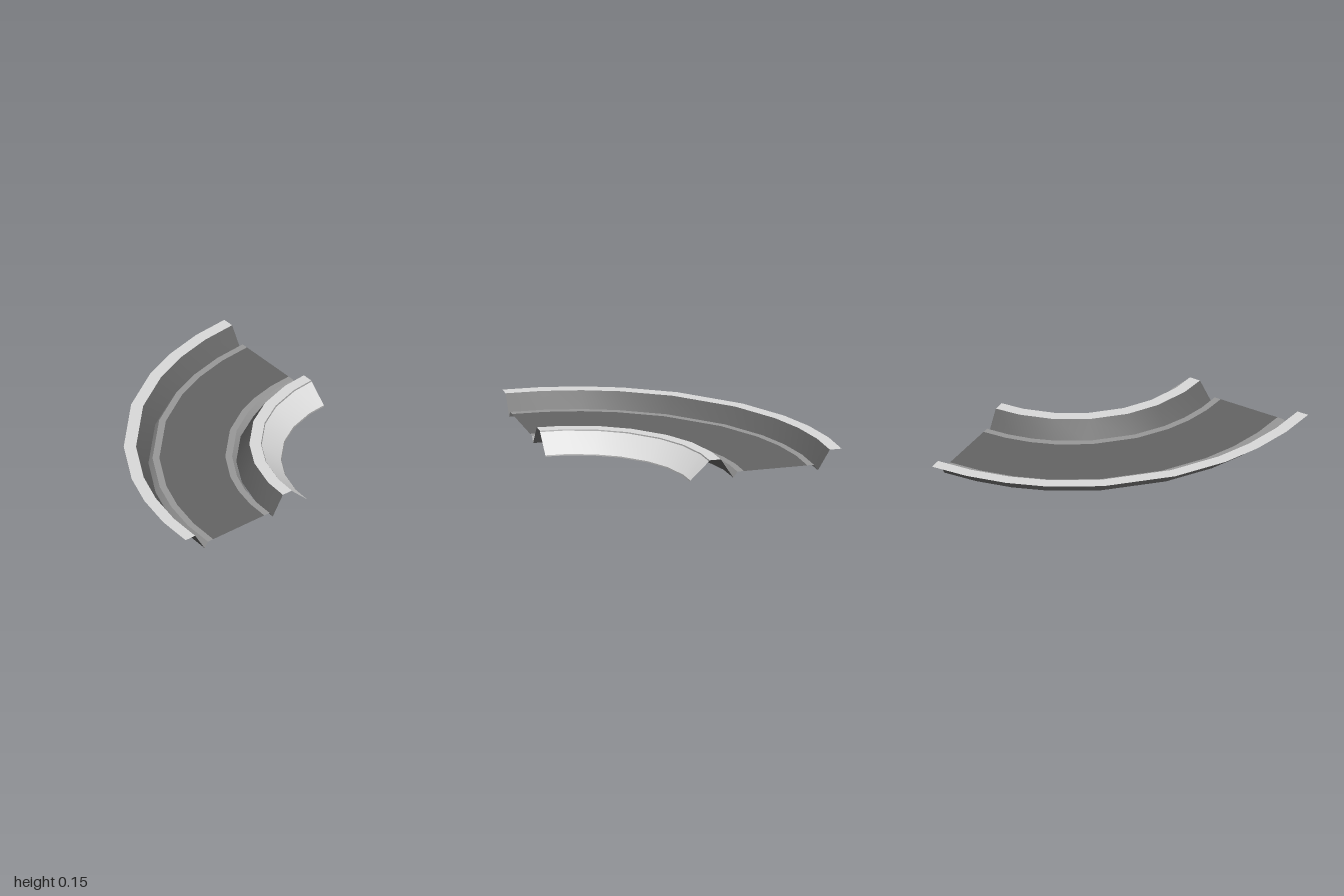
import * as THREE from 'three';

// Arc stations in degrees, from the right end round to the front end
const mirrorArc = (half) => [...half, ...half.map((a) => 90 - a).reverse()];
const WIDE_ARC = mirrorArc([0, 8.1, 16.8, 25.3, 37.2]);
const TIGHT_ARC = mirrorArc([0, 10, 24, 37.2]);

// Sweep one straight profile edge (outer point to inner point) round the corner at x = 1, z = 1
function sweepBand(outer, inner, arc) {
  const positions = [];
  const index = [];
  arc.forEach((deg, i) => {
    const t = THREE.MathUtils.degToRad(deg);
    for (const [r, y] of [outer, inner]) {
      positions.push(1 - r * Math.sin(t), y, 1 - r * Math.cos(t));
    }
    if (i < arc.length - 1) {
      const a = i * 2;
      index.push(a, a + 2, a + 1, a + 1, a + 2, a + 3);
    }
  });
  const geometry = new THREE.BufferGeometry();
  geometry.setAttribute('position', new THREE.Float32BufferAttribute(positions, 3));
  geometry.setIndex(index);
  geometry.computeVertexNormals();
  return geometry;
}

function makeMaterial(name, color) {
  const material = new THREE.MeshStandardMaterial({ color, side: THREE.DoubleSide });
  material.name = name;
  return material;
}

export function createModel() {
  const group = new THREE.Group();
  group.name = 'curvedTrack';

  const light = makeMaterial('light grey', 0xdadada);
  const mid = makeMaterial('mid grey', 0x989898);
  const dark = makeMaterial('dark grey', 0x656565);

  // Each band: name, outer [radius, height], inner [radius, height], material, arc
  const bands = [
    // Outer barrier
    ['outerRim', [2, 0.15], [1.91, 0.15], light, WIDE_ARC],
    ['outerWall', [1.91, 0.15], [1.82, 0], dark, WIDE_ARC],
    // Raised road with pale edge strips
    ['outerKerbSlope', [1.82, 0], [1.79, 0.045], mid, WIDE_ARC],
    ['outerEdgeStrip', [1.79, 0.045], [1.74, 0.045], mid, WIDE_ARC],
    ['roadSurface', [1.74, 0.045], [1.26, 0.045], dark, WIDE_ARC],
    ['innerEdgeStrip', [1.26, 0.045], [1.21, 0.045], mid, WIDE_ARC],
    ['innerKerbSlope', [1.21, 0.045], [1.18, 0], mid, WIDE_ARC],
    // Inner barrier, hollow underneath
    ['innerWall', [1.18, 0], [1.085, 0.15], dark, TIGHT_ARC],
    ['innerRim', [1.085, 0.15], [1, 0.15], light, TIGHT_ARC],
    ['innerRimLip', [1, 0.15], [0.995, 0.142], mid, TIGHT_ARC],
    ['innerBank', [0.995, 0.142], [0.855, 0.008], light, TIGHT_ARC],
    ['innerBankLip', [0.855, 0.008], [0.85, 0], mid, TIGHT_ARC],
  ];

  for (const [name, outer, inner, material, arc] of bands) {
    const mesh = new THREE.Mesh(sweepBand(outer, inner, arc), material);
    mesh.name = name;
    group.add(mesh);
  }
  return group;
}
